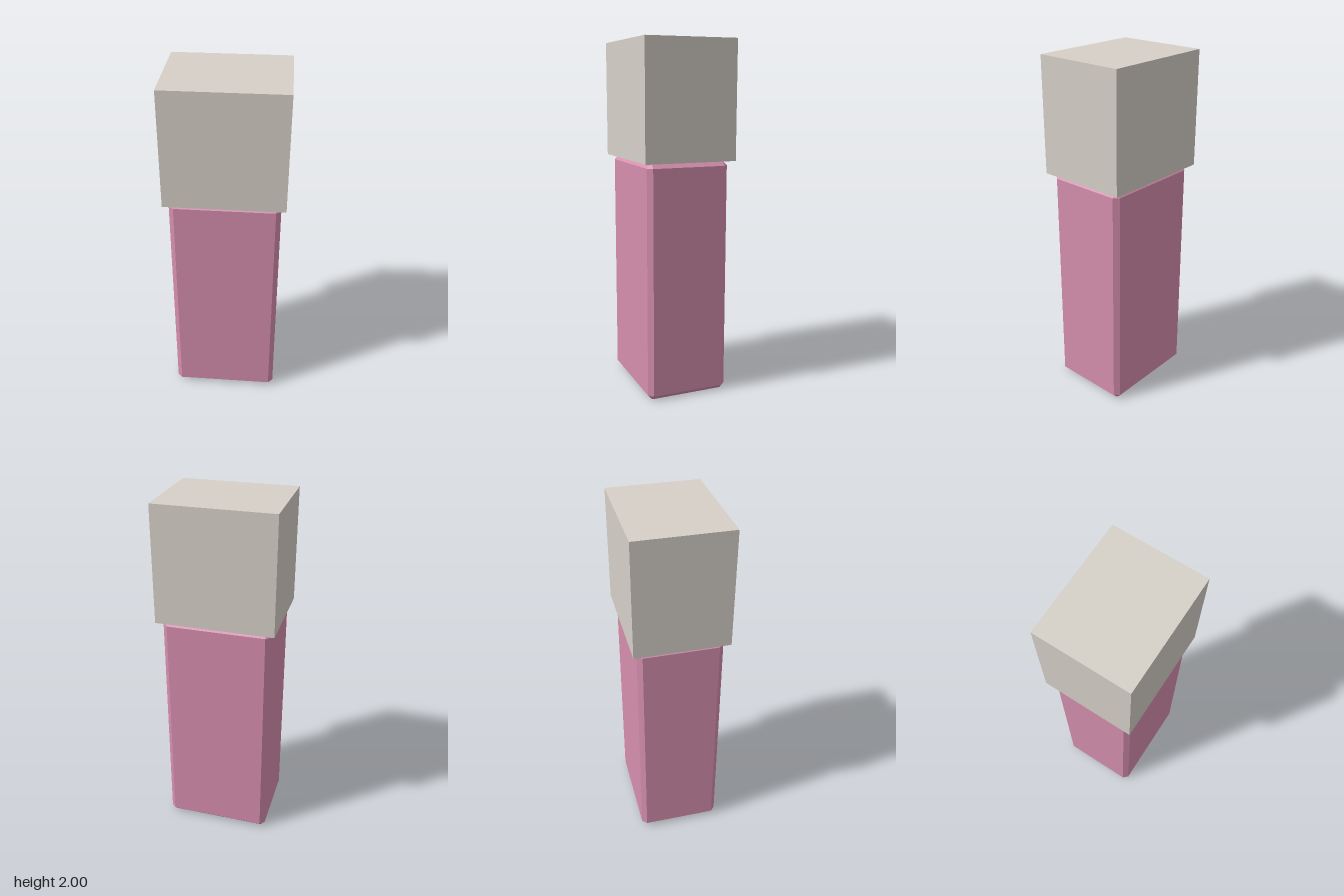
import * as THREE from 'three';
import { ConvexGeometry } from 'three/addons/geometries/ConvexGeometry.js';

// Box with every edge cut by a flat chamfer c
function chamferedBox(w, h, d, c) {
  const points = [];
  const x = w / 2, y = h / 2, z = d / 2;
  for (const sx of [-1, 1]) for (const sy of [-1, 1]) for (const sz of [-1, 1]) {
    points.push(
      new THREE.Vector3(sx * x, sy * (y - c), sz * (z - c)),
      new THREE.Vector3(sx * (x - c), sy * y, sz * (z - c)),
      new THREE.Vector3(sx * (x - c), sy * (y - c), sz * z)
    );
  }
  return new ConvexGeometry(points);
}

export function createModel() {
  const model = new THREE.Group();
  model.name = 'bottle';

  const pink = new THREE.MeshStandardMaterial({ color: 0xd68fae });
  pink.name = 'pink';
  const warmGrey = new THREE.MeshStandardMaterial({ color: 0xd6d0c8 });
  warmGrey.name = 'warmGrey';

  const bodyHeight = 1.343, capHeight = 2 - bodyHeight;

  // Chamfered body
  const body = new THREE.Mesh(chamferedBox(0.608, bodyHeight, 0.476, 0.027), pink);
  body.name = 'body';
  body.position.y = bodyHeight / 2;
  model.add(body);

  // Square-edged cap, slightly wider than the body
  const cap = new THREE.Mesh(new THREE.BoxGeometry(0.662, capHeight, 0.53), warmGrey);
  cap.name = 'cap';
  cap.position.y = bodyHeight + capHeight / 2;
  model.add(cap);

  return model;
}
